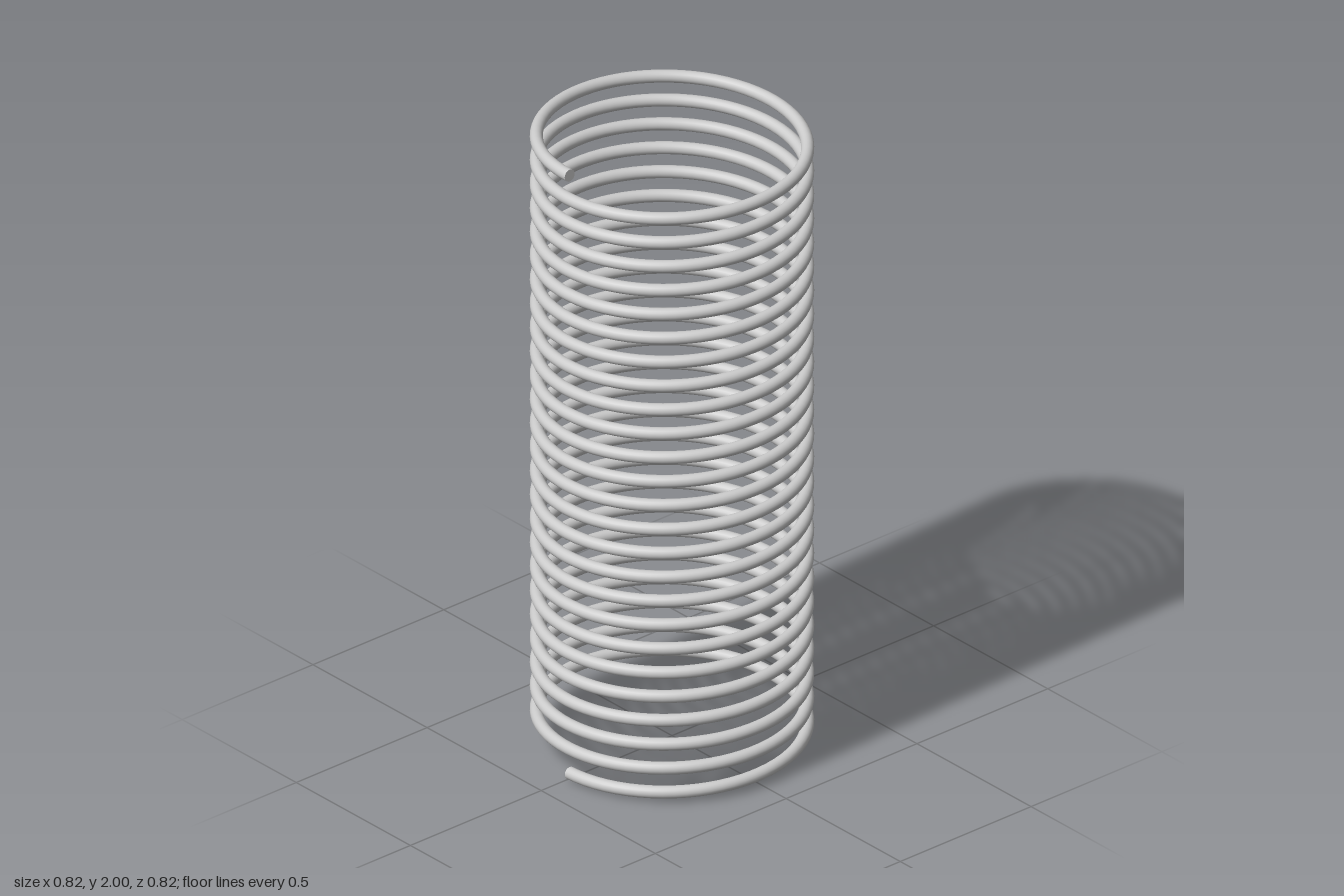
import * as THREE from 'three';

const TURNS = 25, COIL_RADIUS = 0.391, WIRE_RADIUS = 0.019, HEIGHT = 2;

// Centre line of the wire: starts at -x and climbs through +z, +x, -z
class HelixCurve extends THREE.Curve {
  getPoint(t, target = new THREE.Vector3()) {
    const a = t * TURNS * Math.PI * 2;
    return target.set(
      -COIL_RADIUS * Math.cos(a),
      WIRE_RADIUS + t * (HEIGHT - 2 * WIRE_RADIUS),
      COIL_RADIUS * Math.sin(a)
    );
  }
}

export function createModel() {
  const group = new THREE.Group();
  group.name = 'coilSpring';
  const material = new THREE.MeshStandardMaterial({ color: 0xcccccc });
  const helix = new HelixCurve();

  // Coiled wire
  const wire = new THREE.Mesh(
    new THREE.TubeGeometry(helix, TURNS * 72, WIRE_RADIUS, 20, false), material);
  wire.name = 'coil';
  group.add(wire);

  // Flat cut faces closing both wire ends
  for (const [name, t, facing] of [['bottomEnd', 0, -1], ['topEnd', 1, 1]]) {
    const cap = new THREE.Mesh(new THREE.CircleGeometry(WIRE_RADIUS, 20), material);
    cap.name = name;
    cap.position.copy(helix.getPoint(t));
    cap.lookAt(cap.position.clone().addScaledVector(helix.getTangent(t), facing));
    group.add(cap);
  }
  return group;
}
